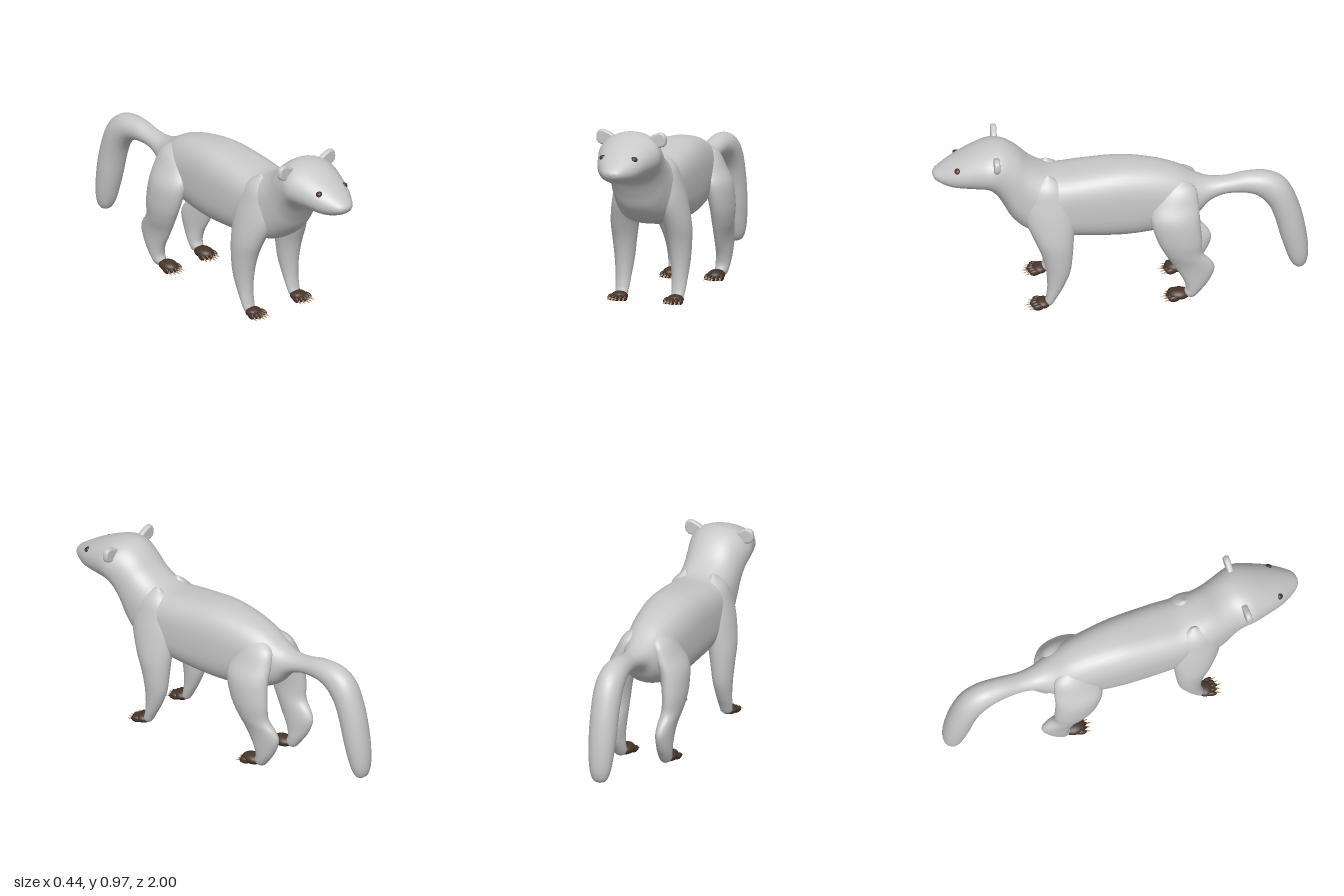
import * as THREE from 'three';
import { mergeVertices } from 'three/addons/utils/BufferGeometryUtils.js';

const mat = (name, color) => {
  const m = new THREE.MeshStandardMaterial({ color });
  m.name = name;
  return m;
};

// Smooth skin over oval cross-sections [centreX, halfWidth, zA, yA, zB, yB];
// A and B are the opposite ends of each oval in the side plane.
function loft(sections, power, perSpan = 5, sides = 40) {
  const curveA = new THREE.CatmullRomCurve3(sections.map(s => new THREE.Vector3(s[1], s[3], s[2])), false, 'catmullrom', 0.5);
  const curveB = new THREE.CatmullRomCurve3(sections.map(s => new THREE.Vector3(s[0], s[5], s[4])), false, 'catmullrom', 0.5);
  const rings = (sections.length - 1) * perSpan;
  const pos = [], index = [];
  const soft = (v, p) => Math.sign(v) * Math.pow(Math.abs(v), 2 / p);
  for (let i = 0; i <= rings; i++) {
    const t = i / rings, a = curveA.getPoint(t), b = curveB.getPoint(t), p = power(t);
    for (let j = 0; j < sides; j++) {
      const ang = (j / sides) * Math.PI * 2;
      const c = soft(Math.cos(ang), p), s = soft(Math.sin(ang), p);
      pos.push(b.x + s * Math.max(a.x, 0),
        (a.y + b.y) / 2 + c * (a.y - b.y) / 2,
        (a.z + b.z) / 2 + c * (a.z - b.z) / 2);
      if (i < rings) {
        const k = (j + 1) % sides, r = i * sides, n = r + sides;
        index.push(r + j, r + k, n + j, r + k, n + k, n + j);
      }
    }
  }
  const g = new THREE.BufferGeometry();
  g.setAttribute('position', new THREE.Float32BufferAttribute(pos, 3));
  g.setIndex(index);
  g.computeVertexNormals();
  return g;
}

// Thin rounded ear; side is 1 for left and -1 for right
function earGeometry(side) {
  const outline = [[.09, .915], [.115, .937], [.14, .949], [.162, .956], [.18, .95], [.186, .93], [.184, .908], [.17, .897], [.15, .893], [.12, .885]];
  const shape = new THREE.Shape();
  shape.moveTo(side * .09, .9);
  shape.splineThru(outline.map(([x, y]) => new THREE.Vector2(side * x, y)));
  const g = new THREE.ExtrudeGeometry(shape, {
    depth: .008, steps: 1, curveSegments: 5, bevelThickness: .012, bevelSize: .01, bevelSegments: 5,
  });
  g.deleteAttribute('normal');
  g.deleteAttribute('uv');
  const smooth = mergeVertices(g, 1e-5);
  smooth.computeVertexNormals();
  return smooth;
}

// Nose to tail tip: A is the back line, B the belly line
const TORSO = [
  [0, 0, 1.0, .785, 1.0, .782],
  [0, .04, .99, .805, .985, .757],
  [0, .075, .95, .835, .945, .735],
  [0, .115, .87, .885, .885, .718],
  [0, .15, .77, .935, .78, .714],
  [0, .17, .69, .958, .71, .711],
  [0, .164, .62, .955, .665, .67],
  [0, .156, .55, .915, .625, .60],
  [0, .155, .48, .845, .585, .525],
  [0, .16, .40, .795, .51, .455],
  [0, .165, .32, .78, .40, .42],
  [0, .168, .20, .795, .24, .40],
  [0, .163, 0, .815, 0, .387],
  [0, .148, -.17, .80, -.17, .398],
];
const TAIL = [
  [0, .13, -.30, .765, -.29, .42],
  [0, .10, -.40, .71, -.40, .475],
  [0, .07, -.48, .685, -.47, .555],
  [0, .055, -.57, .69, -.55, .592],
  [0, .06, -.68, .713, -.65, .597],
  [0, .07, -.80, .705, -.725, .575],
  [0, .076, -.89, .64, -.785, .51],
  [0, .076, -.95, .50, -.82, .42],
  [0, .073, -.985, .34, -.85, .30],
  [0, .06, -.998, .20, -.89, .165],
  [0, .038, -.985, .12, -.92, .108],
  [0, 0, -.95, .093, -.95, .093],
];

// Legs from the top down: A is the rear edge, B the front edge
const FRONT_LEG = [
  [.08, 0, .39, .80, .39, .80],
  [.09, .055, .31, .74, .48, .74],
  [.10, .075, .26, .65, .52, .65],
  [.12, .08, .245, .55, .515, .55],
  [.147, .073, .255, .42, .465, .43],
  [.155, .063, .262, .32, .425, .33],
  [.157, .053, .275, .22, .403, .23],
  [.158, .043, .31, .13, .397, .14],
  [.158, .038, .345, .065, .402, .075],
  [.158, .03, .37, .02, .41, .035],
  [.158, 0, .39, .012, .39, .012],
];
const HIND_LEG = [
  [.06, 0, -.30, .74, -.30, .74],
  [.08, .048, -.39, .69, -.22, .69],
  [.112, .062, -.41, .61, -.17, .61],
  [.147, .067, -.415, .52, -.153, .53],
  [.16, .06, -.425, .40, -.185, .41],
  [.155, .052, -.43, .31, -.225, .32],
  [.145, .045, -.475, .25, -.265, .245],
  [.14, .042, -.492, .20, -.295, .19],
  [.137, .04, -.465, .125, -.325, .135],
  [.133, .038, -.425, .065, -.34, .08],
  [.13, .03, -.39, .02, -.33, .04],
  [.13, 0, -.36, .012, -.36, .012],
];

export function createModel() {
  const fur = mat('greyFur', 0xc8c8c8);
  const paw = mat('darkPaw', 0x463429);
  const claw = mat('tanClaw', 0xb89470);
  const eye = mat('brownEye', 0x4a3326);
  const model = new THREE.Group();
  model.name = 'animal';

  const add = (parent, name, geometry, material) => {
    const m = new THREE.Mesh(geometry, material);
    m.name = name;
    parent.add(m);
    return m;
  };
  const ball = (parent, name, material, p, r) => {
    const m = add(parent, name, new THREE.SphereGeometry(1, 24, 16), material);
    m.position.set(...p);
    m.scale.set(...r);
    return m;
  };

  // Rounder at the head and tail, squarer along the trunk
  const trunkPower = t => 2.05 + .8 * Math.exp(-(((t - .43) / .13) ** 2));
  add(model, 'bodyHeadAndTail', loft([...TORSO, ...TAIL], trunkPower), fur);

  // Paw with five toes and claws, toes towards +z
  function makePaw(name, x, z, length, height) {
    const g = new THREE.Group();
    g.name = name;
    g.position.set(x, 0, z);
    ball(g, 'pad', paw, [0, height / 2, 0], [.046, height / 2, length]);
    for (let i = -2; i <= 2; i++) {
      const reach = .048 - Math.abs(i) * .008, tx = i * .0195;
      ball(g, 'toe', paw, [tx, .021, reach - .008], [.0125, .018, .03]).rotation.y = i * .12;
      const c = add(g, 'claw', new THREE.ConeGeometry(.007, .036, 8), claw);
      c.position.set(tx * 1.08, .014, reach + .03);
      c.rotation.set(Math.PI / 2 + .25, 0, -i * .1);
    }
    model.add(g);
  }

  for (const [side, s] of [['left', 1], ['right', -1]]) {
    const mirror = list => list.map(([x, ...rest]) => [x * s, ...rest]);
    add(model, side + 'FrontLeg', loft(mirror(FRONT_LEG), () => 2), fur);
    add(model, side + 'HindLeg', loft(mirror(HIND_LEG), () => 2), fur);
    makePaw(side + 'FrontPaw', s * .157, .42, .042, .052);
    makePaw(side + 'HindPaw', s * .125, -.302, .06, .06);

    add(model, side + 'Ear', earGeometry(s), fur).position.z = .66;

    const e = ball(model, side + 'Eye', eye, [s * .088, .851, .868], [.018, .015, .018]);
    e.rotation.z = -s * .4;
  }
  return model;
}
